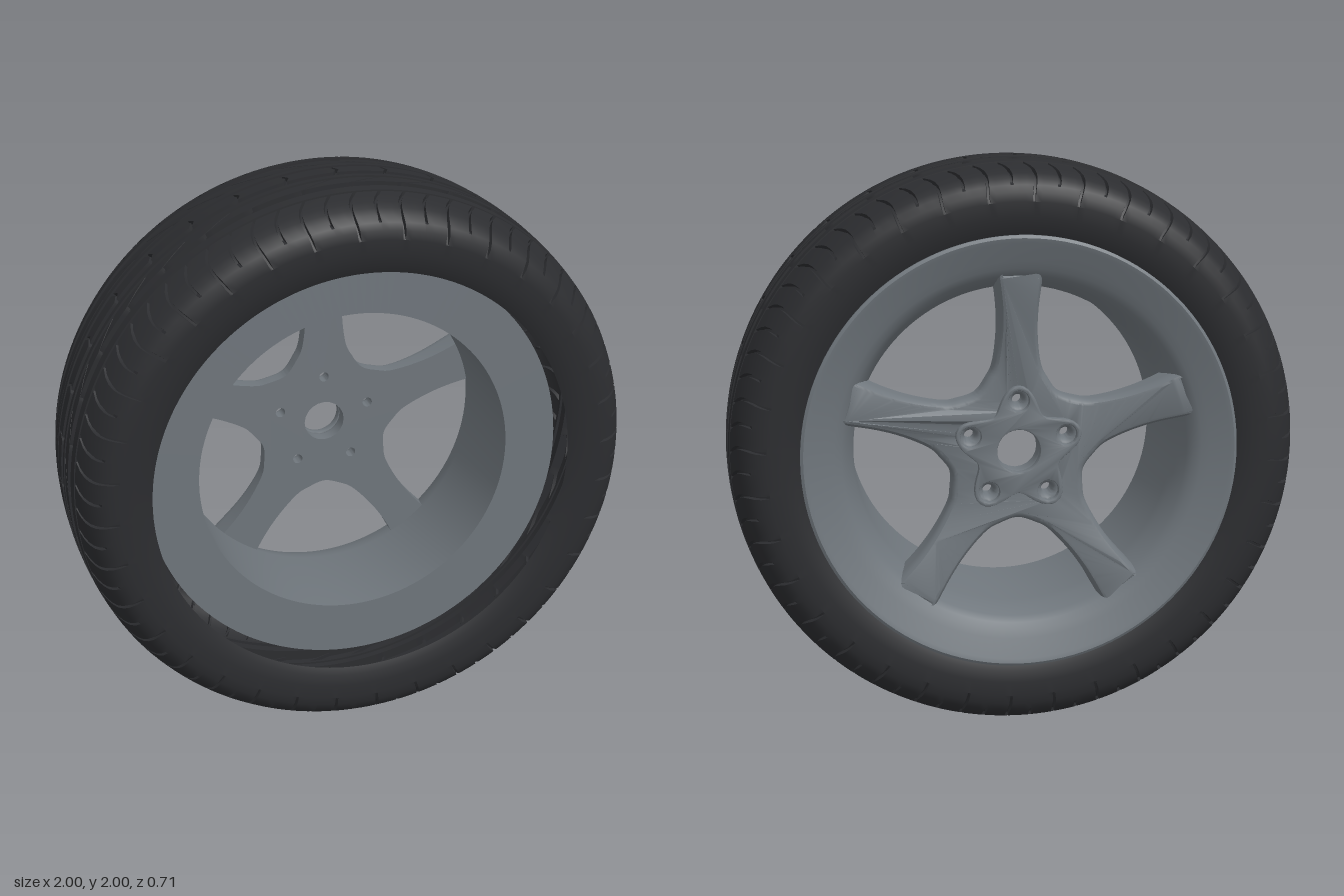
import * as THREE from 'three';
import { toCreasedNormals } from 'three/addons/utils/BufferGeometryUtils.js';

const TAU = Math.PI * 2;
const STEP = TAU / 5;
const BORE = 0.075;
const LUG_CIRCLE = 0.175;

// Half tread profile [z, r, sipe]; sipe 1 = every pitch, 2 = every second pitch
const HALF_TREAD = [
  [0.03, 1, 2], [0.031, 0.965, 0], [0.055, 0.965, 0], [0.056, 0.998, 0], [0.08, 0.998, 0],
  [0.081, 0.975, 0], [0.092, 0.975, 0], [0.093, 0.996, 2], [0.115, 0.995, 2], [0.138, 0.994, 2],
  [0.139, 0.955, 0], [0.172, 0.955, 0], [0.173, 0.99, 0], [0.208, 0.985, 0],
  [0.209, 0.964, 0], [0.218, 0.962, 0], [0.219, 0.983, 1], [0.25, 0.973, 1], [0.275, 0.963, 1],
  [0.3, 0.95, 1], [0.322, 0.934, 1], [0.34, 0.914, 2], [0.351, 0.89, 2],
  [0.355, 0.86, 0], [0.353, 0.81, 0], [0.346, 0.77, 0], [0.335, 0.745, 0],
];

// Angular lean of the tread cuts, so that they follow slanted curves
function lean(z) {
  const a = Math.abs(z);
  const chevron = 0.5 * Math.min(a, 0.09);
  const rib = 2.6 * THREE.MathUtils.clamp(a - 0.09, 0, 0.05);
  const s = Math.max(a - 0.21, 0);
  return chevron + rib + 0.9 * s - 4.5 * s * s;
}

// Open tyre shell: a ring grid whose columns run along the tread cuts
function tyreGeometry() {
  const mirrored = HALF_TREAD.map(([z, r, s]) => [-z, r, s]).reverse();
  const profile = [...mirrored, [0, 1, 2], ...HALF_TREAD];
  const pitches = 72;
  const stops = [0, 0.02, 0.12, 0.14, 0.42, 0.71];
  const columns = pitches * stops.length;
  const rows = profile.length;
  const position = [];
  const index = [];
  for (let i = 0; i < columns; i++) {
    const pitch = Math.floor(i / stops.length);
    const k = i % stops.length;
    const inCut = k === 1 || k === 2;
    const base = ((pitch + stops[k]) / pitches) * TAU;
    profile.forEach(([z, r, sipe], j) => {
      const cut = inCut && sipe > 0 && pitch % sipe === 0;
      const radius = cut ? r - 0.014 : r;
      const depth = cut && Math.abs(z) > 0.3 ? z * 0.98 : z;
      const angle = base + lean(z);
      position.push(radius * Math.cos(angle), radius * Math.sin(angle), depth);
      if (j < rows - 1) {
        const a = i * rows + j;
        const b = ((i + 1) % columns) * rows + j;
        index.push(a, b, a + 1, b, b + 1, a + 1);
      }
    });
  }
  const geometry = new THREE.BufferGeometry();
  geometry.setAttribute('position', new THREE.Float32BufferAttribute(position, 3));
  geometry.setIndex(index);
  return toCreasedNormals(geometry, 0.5);
}

// Barrel with a flat inner flange (+z) and a dished outer lip (-z)
function rimGeometry() {
  const points = [
    [0.745, 0.21], [0.56, 0.21], [0.563, -0.17], [0.572, -0.21], [0.592, -0.27], [0.61, -0.295],
    [0.635, -0.312], [0.66, -0.32], [0.725, -0.352], [0.74, -0.356], [0.75, -0.35], [0.75, -0.32],
    [0.68, -0.29], [0.63, -0.2], [0.6, -0.1], [0.6, 0.17], [0.745, 0.19], [0.745, 0.21],
  ].map(([r, z]) => new THREE.Vector2(r, z));
  const geometry = new THREE.LatheGeometry(points, 128);
  geometry.rotateX(Math.PI / 2);
  return toCreasedNormals(geometry, 0.5);
}

// Point at a distance along a spoke and an offset across it
function spokePoint(angle, along, across) {
  const c = Math.cos(angle);
  const s = Math.sin(angle);
  return new THREE.Vector2(along * c - across * s, along * s + across * c);
}

function circlePath(x, y, r) {
  const path = new THREE.Path();
  path.absarc(x, y, r, 0, TAU, true);
  return path;
}

function addHubHoles(shape, lugRadius) {
  shape.holes.push(circlePath(0, 0, BORE));
  for (let i = 0; i < 5; i++) {
    const p = spokePoint(Math.PI / 2 + i * STEP, LUG_CIRCLE, 0);
    shape.holes.push(circlePath(p.x, p.y, lugRadius));
  }
}

// Five spokes and hub in one plate, flat inside, bevelled and dished outside
function spokesGeometry() {
  const side = [[0.62, 0.085], [0.5, 0.07], [0.4, 0.069], [0.3, 0.082], [0.25, 0.105]];
  const shape = new THREE.Shape();
  for (let i = 0; i < 5; i++) {
    const a = Math.PI / 2 + i * STEP;
    const points = [
      ...side.map(([r, w]) => spokePoint(a, r, w)),
      spokePoint(a + STEP / 2, 0.245, 0),
      ...side.map(([r, w]) => spokePoint(a + STEP, r, -w)).reverse(),
    ];
    const first = points.shift();
    if (i === 0) shape.moveTo(first.x, first.y);
    else shape.lineTo(first.x, first.y);
    shape.splineThru(points);
  }
  addHubHoles(shape, 0.018);
  const geometry = new THREE.ExtrudeGeometry(shape, {
    depth: 0.045, curveSegments: 10, bevelEnabled: true,
    bevelSize: 0.022, bevelOffset: -0.022, bevelThickness: 0.03, bevelSegments: 4,
  });
  geometry.rotateY(Math.PI);
  const p = geometry.attributes.position;
  for (let i = 0; i < p.count; i++) {
    const r = Math.hypot(p.getX(i), p.getY(i));
    const rise = 1 + 0.6 * THREE.MathUtils.smoothstep(r, 0.25, 0.6);
    p.setZ(i, -0.18 + Math.min(p.getZ(i), 0) * rise);
  }
  return toCreasedNormals(geometry, 0.5);
}

// Raised five-pointed pad around the bolt holes
function hubPadGeometry() {
  const points = [];
  for (let i = 0; i < 80; i++) {
    const a = (i / 80) * TAU;
    const r = 0.188 + 0.04 * Math.cos(5 * (a - Math.PI / 2));
    points.push(new THREE.Vector2(r * Math.cos(a), r * Math.sin(a)));
  }
  const shape = new THREE.Shape(points);
  addHubHoles(shape, 0.036);
  const geometry = new THREE.ExtrudeGeometry(shape, {
    depth: 0.02, curveSegments: 14, bevelEnabled: true,
    bevelSize: 0.006, bevelOffset: -0.006, bevelThickness: 0.006, bevelSegments: 2,
  });
  geometry.rotateY(Math.PI);
  geometry.translate(0, 0, -0.25);
  return toCreasedNormals(geometry, 0.5);
}

export function createModel() {
  const rubber = new THREE.MeshStandardMaterial({ color: 0x2b2c2f, side: THREE.DoubleSide });
  const metal = new THREE.MeshStandardMaterial({ color: 0x6f767c });
  const wheel = new THREE.Group();
  wheel.name = 'wheel';
  const parts = [
    ['tyre', tyreGeometry(), rubber],
    ['rim', rimGeometry(), metal],
    ['spokes', spokesGeometry(), metal],
    ['hubPad', hubPadGeometry(), metal],
  ];
  for (const [name, geometry, material] of parts) {
    const mesh = new THREE.Mesh(geometry, material);
    mesh.name = name;
    mesh.position.y = 1;
    wheel.add(mesh);
  }
  return wheel;
}
